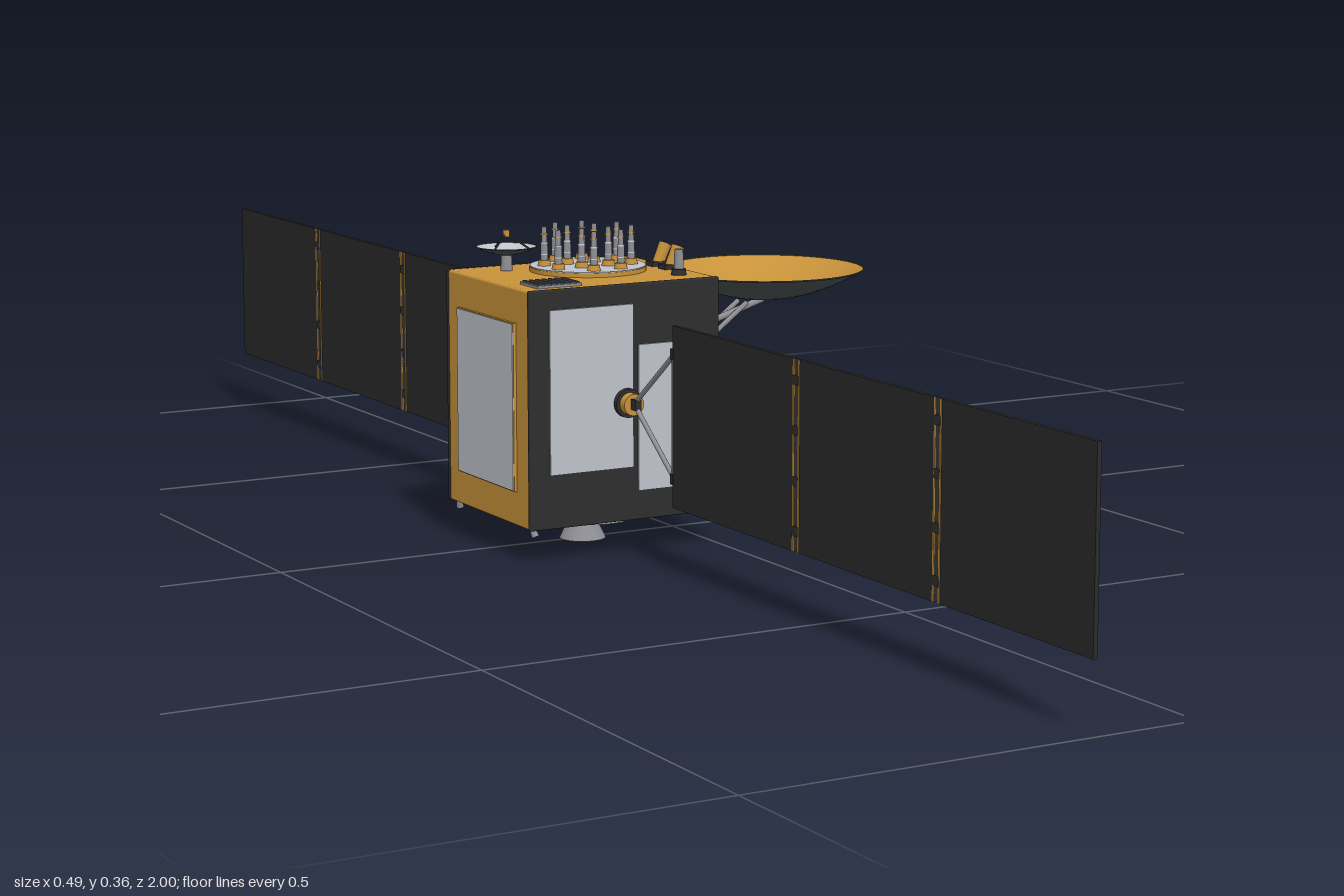
import * as THREE from 'three';
import { RoundedBoxGeometry } from 'three/addons/geometries/RoundedBoxGeometry.js';

const mat = (name, color, side = THREE.FrontSide) => {
  const m = new THREE.MeshStandardMaterial({ color, side });
  m.name = name;
  return m;
};

export function createModel() {
  const gold = mat('gold foil', 0xc8923a);
  const black = mat('black blanket', 0x2e2e2e);
  const cell = mat('solar cell', 0x2a2a2b);
  const pale = mat('pale radiator', 0xbfc3cb);
  const metal = mat('grey metal', 0x8e8e94);
  const dark = mat('dark reflector back', 0x4a5050);

  const root = new THREE.Group();
  root.name = 'satellite';

  const add = (parent, name, geo, m, x = 0, y = 0, z = 0) => {
    const mesh = new THREE.Mesh(geo, m);
    mesh.name = name;
    mesh.position.set(x, y, z);
    parent.add(mesh);
    return mesh;
  };
  const group = (name, x = 0, y = 0, z = 0, parent = root) => {
    const g = new THREE.Group();
    g.name = name;
    g.position.set(x, y, z);
    parent.add(g);
    return g;
  };
  const box = (w, h, d) => new THREE.BoxGeometry(w, h, d);
  const cyl = (top, bottom, h, n = 24, open = false) => new THREE.CylinderGeometry(top, bottom, h, n, 1, open);
  // Round bar between two points
  const bar = (parent, name, a, b, r, m, rEnd = r) => {
    const p = new THREE.Vector3(...a), q = new THREE.Vector3(...b);
    const d = q.clone().sub(p);
    const mesh = add(parent, name, cyl(rEnd, r, d.length(), 12), m);
    mesh.position.copy(p).add(q).multiplyScalar(0.5);
    mesh.quaternion.setFromUnitVectors(new THREE.Vector3(0, 1, 0), d.normalize());
    return mesh;
  };
  // Shallow bowl: inner face, outer face and rim, with the rim plane at y = 0
  const bowl = (parent, name, r, depth, t, inner, outer) => {
    const curve = (drop) => Array.from({ length: 13 }, (_, i) => {
      const s = i / 12;
      return new THREE.Vector2(r * s, -depth * (1 - s * s) - drop * (1 - s));
    });
    add(parent, name + 'Back', new THREE.LatheGeometry(curve(t), 64), outer);
    add(parent, name + 'Face', new THREE.LatheGeometry(curve(0).reverse(), 64), inner);
    const rim = add(parent, name + 'Rim', new THREE.TorusGeometry(r - t / 2, t / 2, 6, 64), outer);
    rim.rotation.x = Math.PI / 2;
  };

  // Bus: gold core with black blankets on front and back
  const CX = -0.12;
  const body = group('body', CX, 0.174, 0);
  add(body, 'core', new RoundedBoxGeometry(0.242, 0.271, 0.206, 2, 0.003), gold);
  for (const s of [1, -1]) {
    const face = group(s > 0 ? 'frontFace' : 'backFace', 0, 0, 0, body);
    face.rotation.y = s > 0 ? 0 : Math.PI;
    add(face, 'blanket', new RoundedBoxGeometry(0.244, 0.272, 0.006, 2, 0.002), black, 0, 0, 0.102);
    add(face, 'tallRadiator', box(0.106, 0.187, 0.003), pale, -0.044, 0.0195, 0.1058);
    add(face, 'shortRadiator', box(0.079, 0.168, 0.003), pale, 0.0555, -0.018, 0.1058);
    // Side radiator on a gold frame
    const h = s > 0 ? 0.174 : 0.19;
    add(body, 'sideFrame', box(0.005, h + 0.002, 0.142), gold, s * 0.122, 0, 0);
    add(body, 'sideRadiator', box(0.002, h, 0.14), pale, s * 0.1245, 0, 0);
  }

  // Underside: adapter ring, engine nozzle and corner thrusters
  const under = group('underside', CX, 0, 0);
  add(under, 'ringFlange', cyl(0.069, 0.069, 0.004, 48), gold, 0, 0.037, 0);
  add(under, 'adapterRing', cyl(0.068, 0.068, 0.008, 48), pale, 0, 0.032, 0);
  add(under, 'engineWell', cyl(0.04, 0.04, 0.001, 40), black, 0, 0.0277, 0);
  add(under, 'nozzle', cyl(0.013, 0.027, 0.028, 32, true), metal, 0, 0.014, 0);
  const bell = cyl(0.0125, 0.0265, 0.028, 32, true);
  const inside = add(under, 'nozzleInside', bell, mat('nozzle inside', 0x2e2e2e, THREE.BackSide), 0, 0.014, 0);
  inside.material.name = 'nozzle inside';
  for (const sx of [-1, 1]) for (const sz of [-1, 1]) {
    bar(under, 'thruster', [sx * 0.114, 0.04, sz * 0.093], [sx * 0.111, 0.03, sz * 0.096], 0.003, metal, 0.0045);
  }

  // Solar wings, mirrored front and back
  for (const s of [1, -1]) {
    const wing = group(s > 0 ? 'frontWing' : 'backWing', CX, 0.176, 0);
    const ring = add(wing, 'driveCollar', cyl(0.0165, 0.0165, 0.01, 32), black, 0, -0.001, s * 0.109);
    const hub = add(wing, 'driveHub', cyl(0.0125, 0.0125, 0.02, 32), gold, 0, -0.001, s * 0.115);
    ring.rotation.x = hub.rotation.x = Math.PI / 2;
    add(wing, 'yokeRoot', box(0.008, 0.012, 0.012), black, 0, 0, s * 0.129);
    for (const v of [1, -1]) {
      bar(wing, 'yokeStrut', [0, 0, s * 0.125], [0, v * 0.07, s * 0.217], 0.0028, metal);
      add(wing, 'yokeFitting', box(0.007, 0.012, 0.006), black, 0, v * 0.07, s * 0.216);
    }
    add(wing, 'yokeBar', box(0.004, 0.15, 0.003), metal, 0, 0, s * 0.2155);
    for (let i = 0; i < 3; i++) {
      const z = 0.217 + i * 0.2635;
      const w = 0.256;
      add(wing, 'solarPanel', box(0.005, 0.204, w), cell, 0, 0, s * (z + w / 2));
      if (i === 0) continue;
      // Folding joint
      for (const v of [-0.08, -0.027, 0.027, 0.08]) {
        add(wing, 'hinge', box(0.007, 0.01, 0.011), black, 0, v, s * (z - 0.00375));
      }
      for (const e of [-0.009, 0.0015]) {
        add(wing, 'jointStrip', box(0.001, 0.204, 0.003), gold, -0.0028, 0, s * (z + e));
      }
    }
  }

  // Main reflector and its support arms
  const dish = group('mainDish', 0.1225, 0.299, 0);
  bowl(dish, 'reflector', 0.1205, 0.035, 0.002, gold, dark);
  add(dish, 'reflectorCentre', cyl(0.002, 0.002, 0.002, 12), black, 0, -0.034, 0);
  const arms = group('dishArms');
  add(arms, 'armBracket', box(0.013, 0.028, 0.03), metal, 0.0095, 0.226, 0);
  bar(arms, 'upperArm', [0.012, 0.228, 0], [0.122, 0.262, 0], 0.004, metal);
  for (const s of [1, -1]) {
    bar(arms, 'lowerArm', [0.003, 0.192, s * 0.01], [0.095, 0.261, s * 0.01], 0.003, metal);
  }

  // Antenna cluster on a round deck
  const deck = group('antennaDeck', -0.1, 0.31, -0.022);
  add(deck, 'deckBase', cyl(0.068, 0.068, 0.005, 48), gold, 0, 0.002, 0);
  add(deck, 'deckTop', cyl(0.067, 0.067, 0.001, 48), pale, 0, 0.005, 0);
  const steps = [-0.0475, -0.0175, 0.0175, 0.0475];
  for (const x of steps) for (const z of steps) {
    if (Math.hypot(x, z) > 0.06) continue;
    const a = group('helixAntenna', x, 0.005, z, deck);
    add(a, 'antennaBase', cyl(0.0065, 0.008, 0.007, 16), gold, 0, 0.0035, 0);
    add(a, 'antennaLower', cyl(0.004, 0.0045, 0.02, 12), metal, 0, 0.017, 0);
    add(a, 'antennaUpper', cyl(0.0028, 0.0034, 0.019, 12), metal, 0, 0.036, 0);
    for (const y of [0.014, 0.027, 0.037]) {
      add(a, 'antennaBand', cyl(0.0042, 0.0046, 0.0015, 12), y > 0.03 ? gold : pale, 0, y, 0);
    }
  }

  // Small dish with feed tripod
  const small = group('smallDish', -0.186, 0.31, -0.06);
  add(small, 'stand', cyl(0.006, 0.007, 0.02, 20), metal, 0, 0.01, 0);
  const smallBowl = group('smallBowl', 0, 0.028, 0, small);
  bowl(smallBowl, 'smallReflector', 0.036, 0.009, 0.0015, pale, dark);
  for (let i = 0; i < 3; i++) {
    const t = i * Math.PI * 2 / 3 + Math.PI / 6;
    bar(small, 'feedLeg', [Math.cos(t) * 0.028, 0.024, Math.sin(t) * 0.028], [0, 0.043, 0], 0.0011, black);
  }
  add(small, 'feed', cyl(0.004, 0.004, 0.008, 16), gold, 0, 0.043, 0);

  // Ribbed equipment plate
  const plate = group('ribbedPlate', -0.195, 0.31, 0.068);
  add(plate, 'plateBase', box(0.056, 0.003, 0.042), metal, 0, 0.001, 0);
  for (let i = 0; i < 7; i++) {
    add(plate, 'rib', box(0.003, 0.003, 0.04), dark, -0.024 + i * 0.008, 0.003, 0);
  }

  // Sensors along the top edge
  const sensors = group('sensors', 0, 0.31, 0);
  add(sensors, 'sensorFoot', cyl(0.008, 0.009, 0.007, 20), black, -0.029, 0.003, 0.066);
  add(sensors, 'sensorTube', cyl(0.005, 0.006, 0.029, 20), metal, -0.029, 0.0145, 0.066);
  for (const z of [-0.013, 0.017]) {
    add(sensors, 'trackerFoot', box(0.02, 0.006, 0.016), black, -0.014, 0.002, z);
    bar(sensors, 'starTracker', [-0.012, 0.002, z], [-0.002, 0.025, z], 0.007, gold, 0.0075);
    bar(sensors, 'trackerLens', [-0.002, 0.025, z], [-0.0018, 0.0255, z], 0.006, black);
  }
  return root;
}
